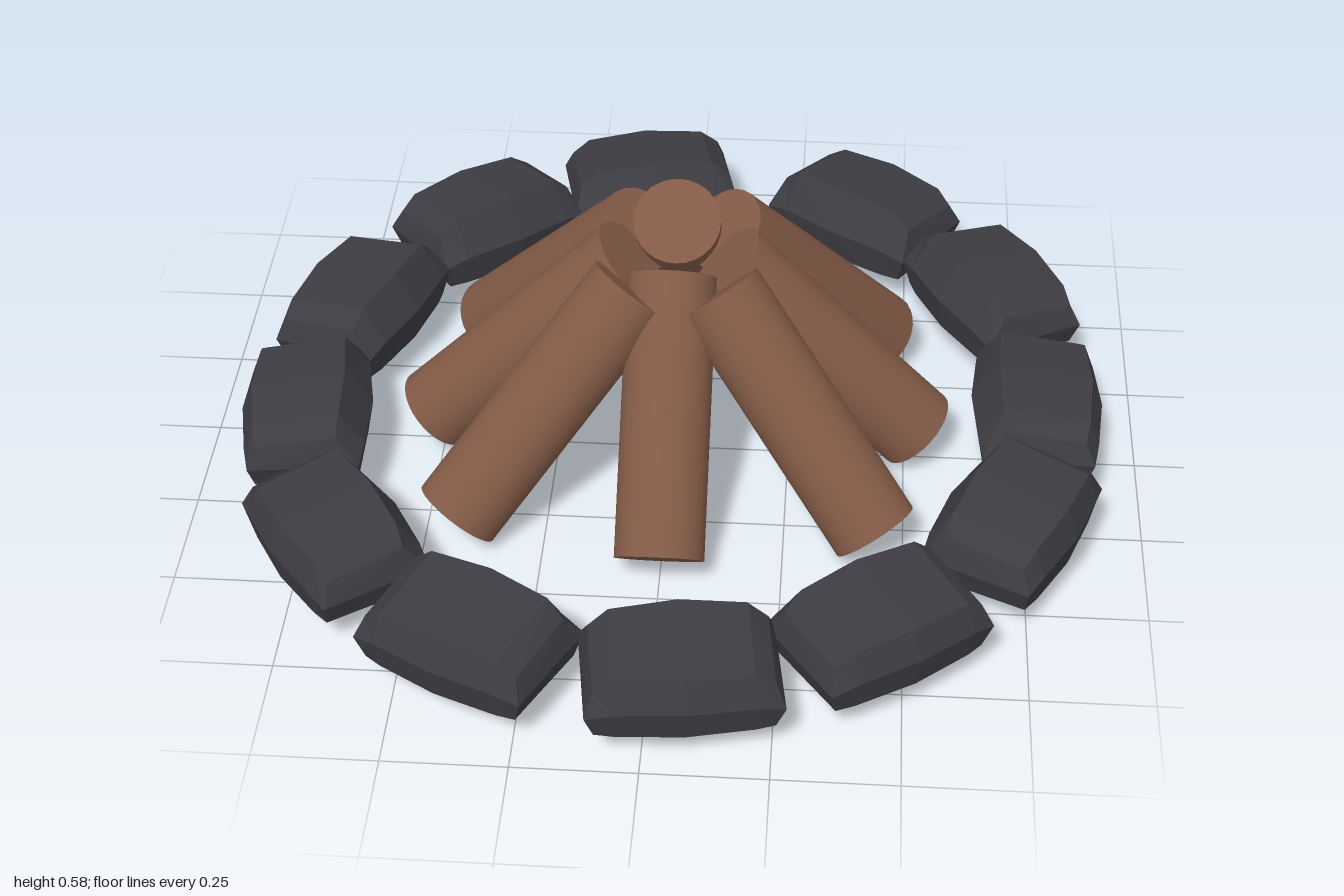
import * as THREE from 'three';

const stoneMat = new THREE.MeshStandardMaterial({ color: 0x3d3c42, flatShading: true });
stoneMat.name = 'charcoal stone';
const barkMat = new THREE.MeshStandardMaterial({ color: 0x825a46 });
barkMat.name = 'brown wood';

// Faceted stone lofted along x from scaled hexagonal sections; +z is the outer side
function stoneGeometry() {
  const profile = [[0.125, 0.07], [0.14, 0.14], [0.115, 0.205], [-0.085, 0.234], [-0.14, 0.15], [-0.125, 0.07]];
  // position, half length added at mid height, width scale, height scale
  const sections = [[-0.175, -0.018, 0.84, 0.74], [-0.135, 0, 0.91, 0.94], [0, 0, 1, 1], [0.135, 0, 0.91, 0.94], [0.175, 0.018, 0.84, 0.74]];
  const n = profile.length;
  const pos = [];
  const index = [];
  for (const [x, bulge, w, h] of sections) {
    profile.forEach(([z, y], j) => {
      pos.push(x + (j === 1 || j === 4 ? bulge : 0), 0.07 + (y - 0.07) * h, z * w);
    });
  }
  for (let i = 0; i < sections.length - 1; i++) {
    for (let j = 0; j < n; j++) {
      const a = i * n + j, b = i * n + (j + 1) % n;
      index.push(a, a + n, b, a + n, b + n, b);
    }
  }
  // End caps, split at mid height
  const e = (sections.length - 1) * n;
  for (const [a, b, c] of [[0, 1, 4], [0, 4, 5], [1, 2, 3], [1, 3, 4]]) {
    index.push(a, b, c, e + a, e + c, e + b);
  }
  const g = new THREE.BufferGeometry();
  g.setAttribute('position', new THREE.Float32BufferAttribute(pos, 3));
  g.setIndex(index);
  const flat = g.toNonIndexed();
  flat.computeVertexNormals();
  return flat;
}

// Round log between two end centres
function log(from, to) {
  const a = new THREE.Vector3(...from), b = new THREE.Vector3(...to);
  const dir = b.clone().sub(a);
  const mesh = new THREE.Mesh(new THREE.CylinderGeometry(0.093, 0.093, dir.length(), 28), barkMat);
  mesh.position.copy(a).add(b).multiplyScalar(0.5);
  mesh.quaternion.setFromUnitVectors(new THREE.Vector3(0, 1, 0), dir.normalize());
  mesh.name = 'log';
  return mesh;
}

export function createModel() {
  const model = new THREE.Group();
  model.name = 'campfire';

  // Ring of stones: x, z, heading in degrees
  const ring = new THREE.Group();
  ring.name = 'stoneRing';
  const geo = stoneGeometry();
  const stones = [
    [-0.11, -0.84, 168], [0.40, -0.75, -145], [0.69, -0.45, -120], [0.78, -0.03, -90],
    [0.72, 0.36, -65], [0.45, 0.69, -36], [0.07, 0.845, -8], [-0.35, 0.77, 27],
    [-0.66, 0.49, 55], [-0.78, 0.09, 84], [-0.72, -0.31, 110], [-0.48, -0.66, 140],
  ];
  for (const [x, z, deg] of stones) {
    const stone = new THREE.Mesh(geo, stoneMat);
    stone.position.set(x, 0, z);
    stone.rotation.y = -THREE.MathUtils.degToRad(deg);
    stone.name = 'stone';
    ring.add(stone);
  }
  model.add(ring);

  // Leaning logs: foot and top centres
  const logs = new THREE.Group();
  logs.name = 'logPile';
  const ends = [
    [[-0.52, 0.066, 0.01], [-0.09, 0.485, -0.015]],
    [[0.525, 0.066, -0.01], [0.11, 0.485, -0.015]],
    [[0, 0.061, -0.49], [0, 0.52, -0.11]],
    [[0, 0.063, 0.45], [0, 0.49, 0.05]],
    [[-0.43, 0.066, -0.36], [-0.08, 0.49, -0.12]],
    [[-0.43, 0.066, 0.335], [-0.08, 0.49, 0.10]],
    [[0.44, 0.066, -0.36], [0.10, 0.49, -0.13]],
    [[0.44, 0.066, 0.335], [0.10, 0.49, 0.10]],
  ];
  // Cross logs run straight along their axis
  ends[0][0][2] = ends[1][0][2] = ends[0][1][2] = ends[1][1][2] = -0.015;
  for (const [foot, top] of ends) logs.add(log(foot, top));
  model.add(logs);
  return model;
}
